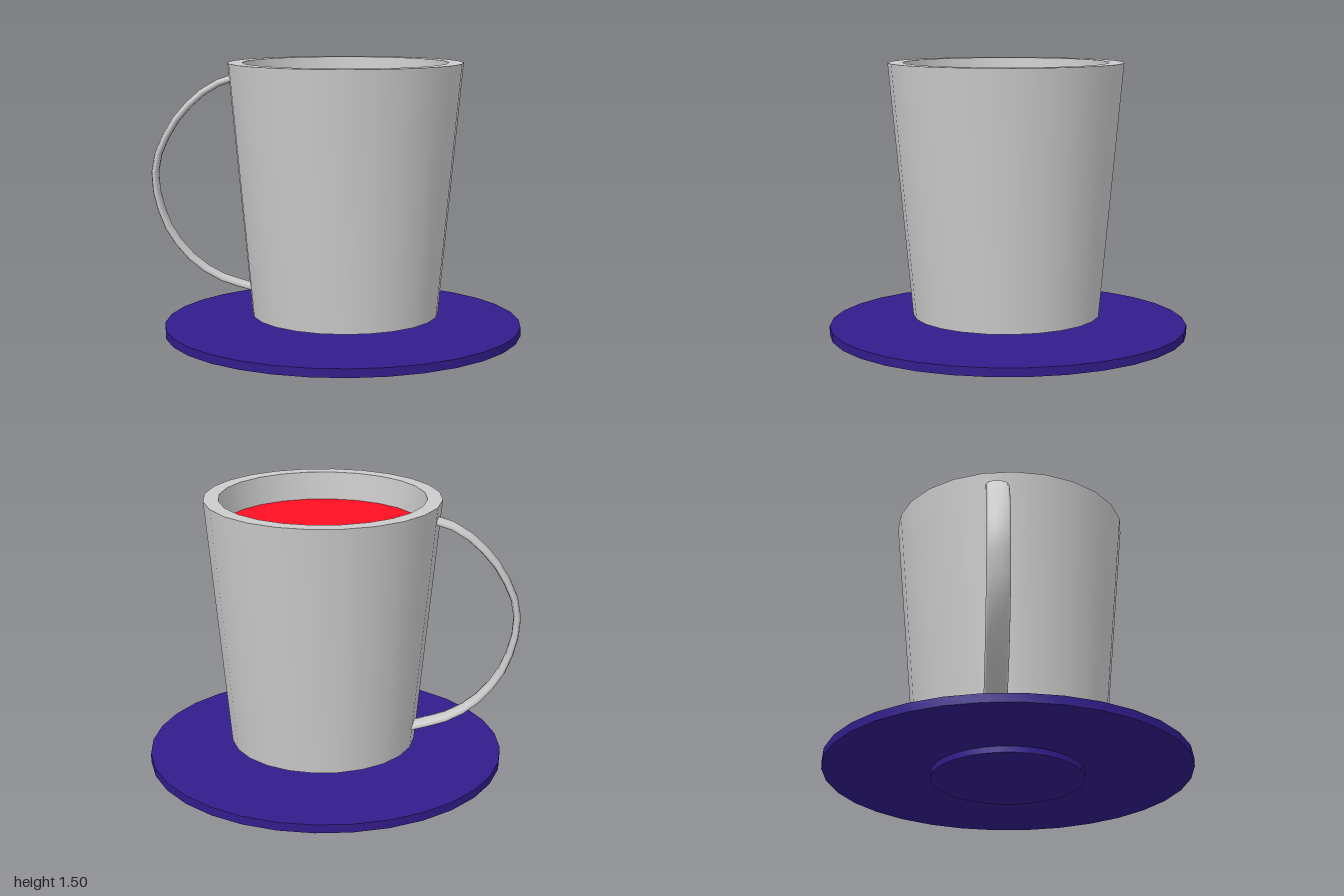
import * as THREE from 'three';
import { toCreasedNormals } from 'three/addons/utils/BufferGeometryUtils.js';

const grey = new THREE.MeshStandardMaterial({ color: 0xcccccc });
const greyDouble = new THREE.MeshStandardMaterial({ color: 0xcccccc, side: THREE.DoubleSide });
const blue = new THREE.MeshStandardMaterial({ color: 0x321c8b });
const red = new THREE.MeshStandardMaterial({ color: 0xfe0f22 });

function part(name, geometry, material) {
  const mesh = new THREE.Mesh(geometry, material);
  mesh.name = name;
  return mesh;
}

// Solid of revolution from [radius, height] pairs, with sharp rims
function lathe(profile, sides) {
  const points = profile.map(([r, y]) => new THREE.Vector2(r, y));
  return toCreasedNormals(new THREE.LatheGeometry(points, sides), 0.6);
}

export function createModel() {
  const model = new THREE.Group();
  model.name = 'cupAndSaucer';

  // Saucer: flat disc on a small foot
  const saucer = part('saucer', lathe([
    [0, 0], [0.407, 0], [0.407, 0.033], [0.975, 0.033], [0.975, 0.079], [0, 0.079],
  ], 32), blue);
  saucer.position.x = 0.025;
  model.add(saucer);

  // Cup, turned so that the handle swings towards the front
  const cup = new THREE.Group();
  cup.name = 'cup';
  cup.position.set(0.042, 0, 0.005);
  cup.rotation.y = THREE.MathUtils.degToRad(20);
  model.add(cup);

  // Tapered body: outer wall, rim, inner wall and floor
  cup.add(part('cupBody', lathe([
    [0, 0.133], [0.509, 0.133], [0.634, 1.503], [0.554, 1.503], [0.437, 0.213], [0, 0.213],
  ], 24), grey));

  // Drink surface
  const drink = part('drink', new THREE.CircleGeometry(0.542, 24), red);
  drink.rotation.x = -Math.PI / 2;
  drink.position.y = 1.35;
  cup.add(drink);

  // Handle: thin flattened tube, its ends buried in the wall
  const path = new THREE.CatmullRomCurve3([
    [-0.59, 1.42], [-0.714, 1.377], [-0.81, 1.31], [-0.916, 1.2], [-0.985, 1.09],
    [-1.033, 0.975], [-1.046, 0.85], [-1.022, 0.72], [-0.985, 0.61], [-0.911, 0.49],
    [-0.815, 0.39], [-0.687, 0.31], [-0.48, 0.245],
  ].map(([x, y]) => new THREE.Vector3(x, y, 0)));
  const handle = part('handle', new THREE.TubeGeometry(path, 16, 0.02, 10).scale(1, 1, 3), greyDouble);
  handle.position.z = -0.09;
  cup.add(handle);

  return model;
}
